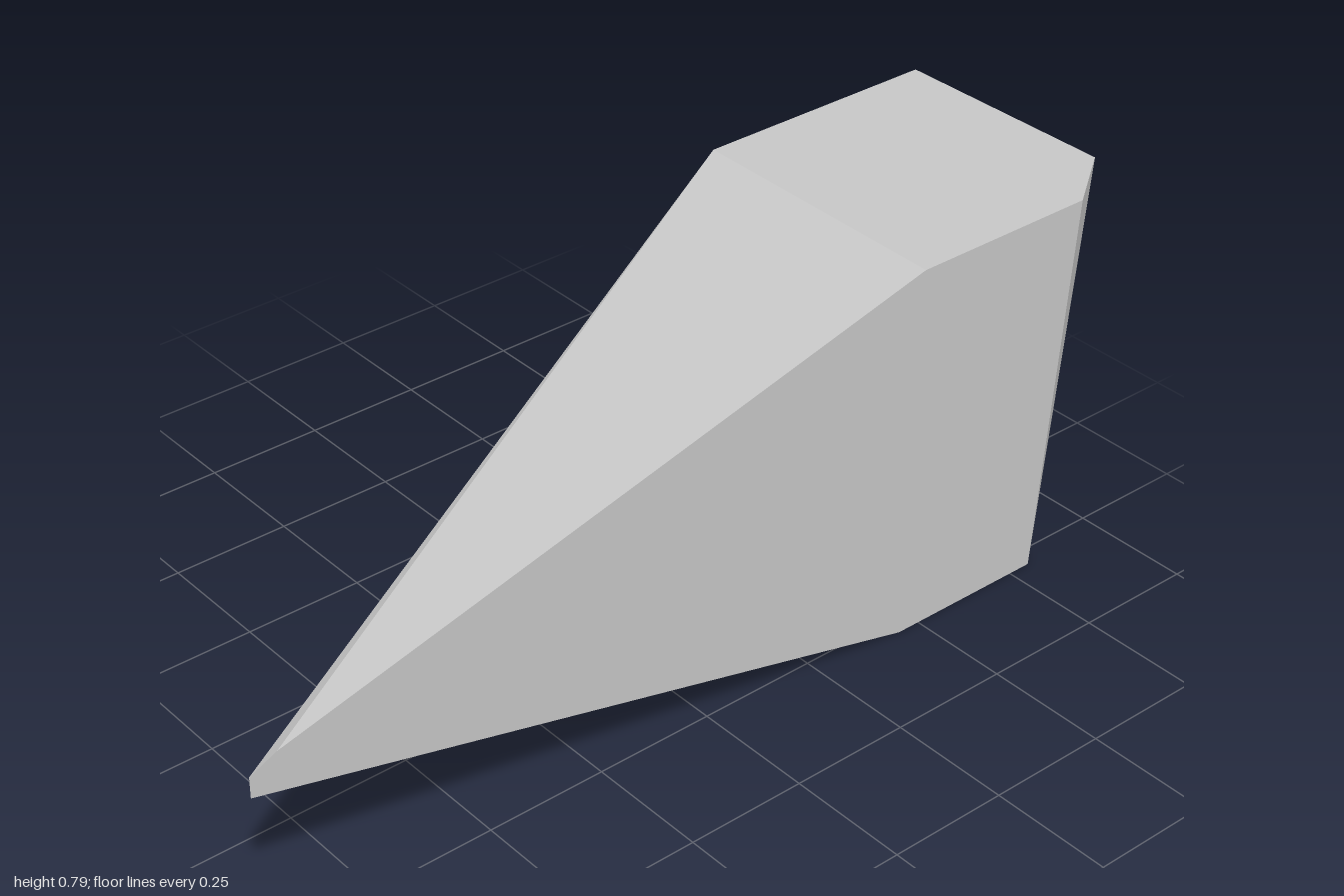
import * as THREE from 'three';
import { ConvexGeometry } from 'three/addons/geometries/ConvexGeometry.js';

// A faceted wedge-shaped shard, described by its rings of corners.
export function createModel() {
  const group = new THREE.Group();
  group.name = 'shard';

  const stone = new THREE.MeshStandardMaterial({ color: 0xc8c8c8 });
  stone.name = 'pale grey stone';

  const H = 0.79; // full height
  const W = 0.29; // half width

  // Flat top and bottom outlines as [x, z]
  const top = [[-W, -1], [0.19, -1], [W, -0.86], [W, -0.46], [-W, -0.47]];
  const bottom = [[-W, -0.47], [-W, -0.67], [0.01, -0.86], [0.11, -0.86], [W, -0.8], [W, -0.45]];

  // Lower corners of the back face as [x, y]
  const back = [[0.15, 0.56], [0.09, 0.45], [0.03, 0.45], [-W, 0.63]];

  // Narrow leading edge as [x, low y, high y, z]
  const edge = [
    [-W, 0.352, 0.415, -0.14],
    [-0.21, 0.362, 0.402, 0.07],
    [0.17, 0.37, 0.396, 0.8],
    [W, 0.364, 0.407, 1],
  ];

  const points = [
    ...top.map(([x, z]) => new THREE.Vector3(x, H, z)),
    ...bottom.map(([x, z]) => new THREE.Vector3(x, 0, z)),
    ...back.map(([x, y]) => new THREE.Vector3(x, y, -1)),
    ...edge.flatMap(([x, low, high, z]) => [
      new THREE.Vector3(x, low, z),
      new THREE.Vector3(x, high, z),
    ]),
    new THREE.Vector3(W, 0.432, 0.945), // small chamfer above the tip
  ];

  const body = new THREE.Mesh(new ConvexGeometry(points), stone);
  body.name = 'shardBody';
  group.add(body);
  return group;
}
